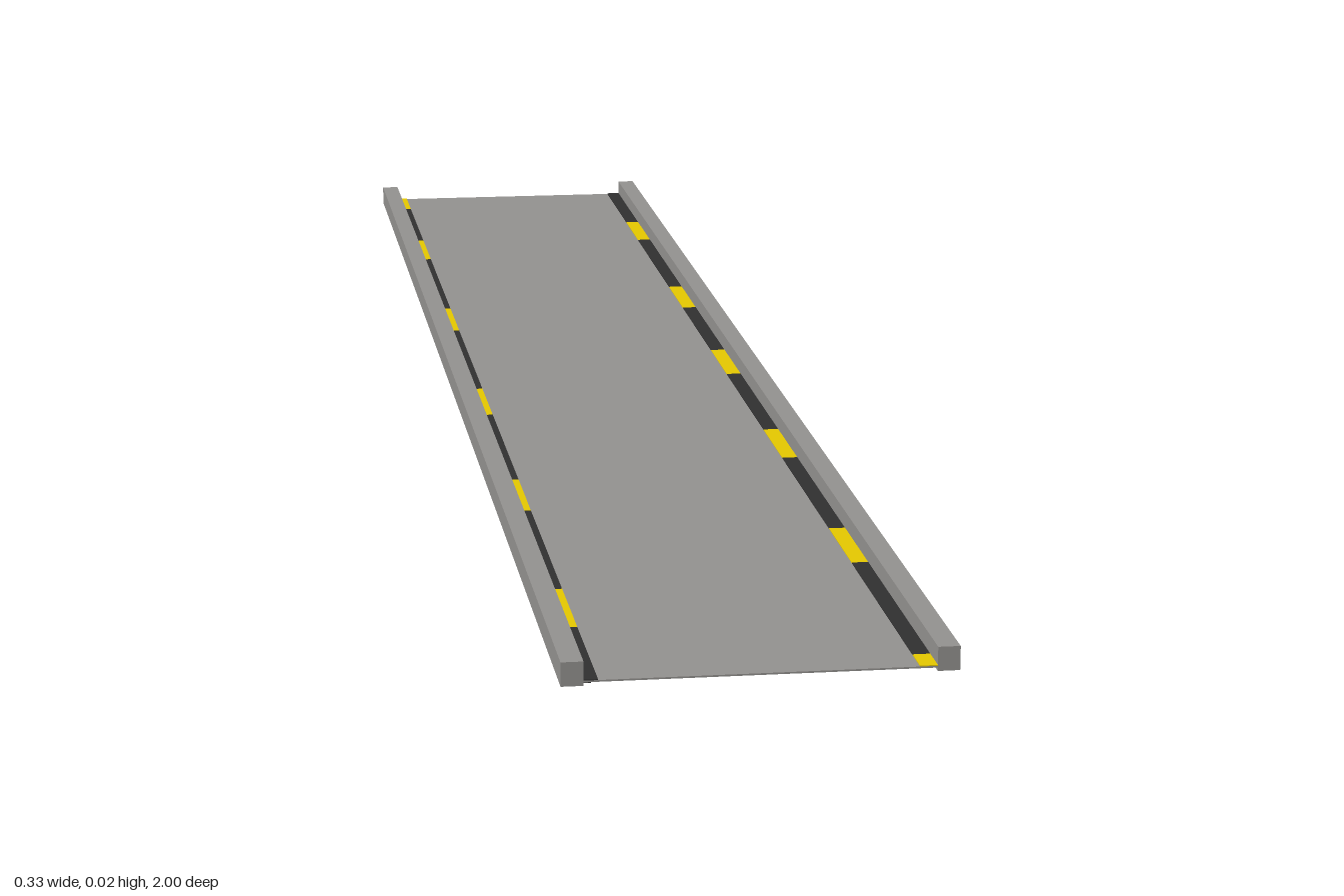
import * as THREE from 'three';

export function createModel() {
  const model = new THREE.Group();
  model.name = 'walkway';

  const mat = (name, color) => {
    const m = new THREE.MeshStandardMaterial({ color });
    m.name = name;
    return m;
  };
  const concrete = mat('concrete grey', 0x949290);
  const asphalt = mat('dark grey', 0x303030);
  const yellow = mat('dash yellow', 0xecce00);

  // Box given by its min and max on each axis
  const slab = (name, material, [x0, x1], [y0, y1], [z0, z1]) => {
    const mesh = new THREE.Mesh(new THREE.BoxGeometry(x1 - x0, y1 - y0, z1 - z0), material);
    mesh.position.set((x0 + x1) / 2, (y0 + y1) / 2, (z0 + z1) / 2);
    mesh.name = name;
    model.add(mesh);
  };

  // Thin deck between the kerbs
  slab('deck', concrete, [-0.149, 0.149], [0.003, 0.0045], [-1, 1]);

  // Kerbs along both long sides
  slab('leftKerb', concrete, [0.148, 0.167], [0, 0.021], [-1, 1]);
  slab('rightKerb', concrete, [-0.167, -0.148], [0, 0.021], [-1, 1]);

  // Dark edge strip interrupted by yellow dashes, clipped to the deck ends
  const edgeStrip = (side, xs, ys, dashStarts) => {
    let z = -1;
    for (const s of dashStarts) {
      const start = Math.max(-1, s), end = Math.min(1, s + 0.11);
      if (start > z) slab(side + 'EdgeStrip', asphalt, xs, ys, [z, start]);
      slab(side + 'EdgeDash', yellow, xs, ys, [start, end]);
      z = end;
    }
    if (z < 1) slab(side + 'EdgeStrip', asphalt, xs, ys, [z, 1]);
  };
  const leftDashes = [-0.81, -0.43, -0.11, 0.235, 0.595, 0.97];
  const rightDashes = [-1.04, -0.73, -0.35, 0.03, 0.39, 0.75];
  edgeStrip('left', [0.133, 0.148], [0.0045, 0.0053], leftDashes);
  edgeStrip('right', [-0.148, -0.136], [0.0045, 0.0053], rightDashes);
  // The right strip also shows as a narrow line under the deck
  edgeStrip('rightUnder', [-0.148, -0.142], [0.0024, 0.003], rightDashes);

  return model;
}
